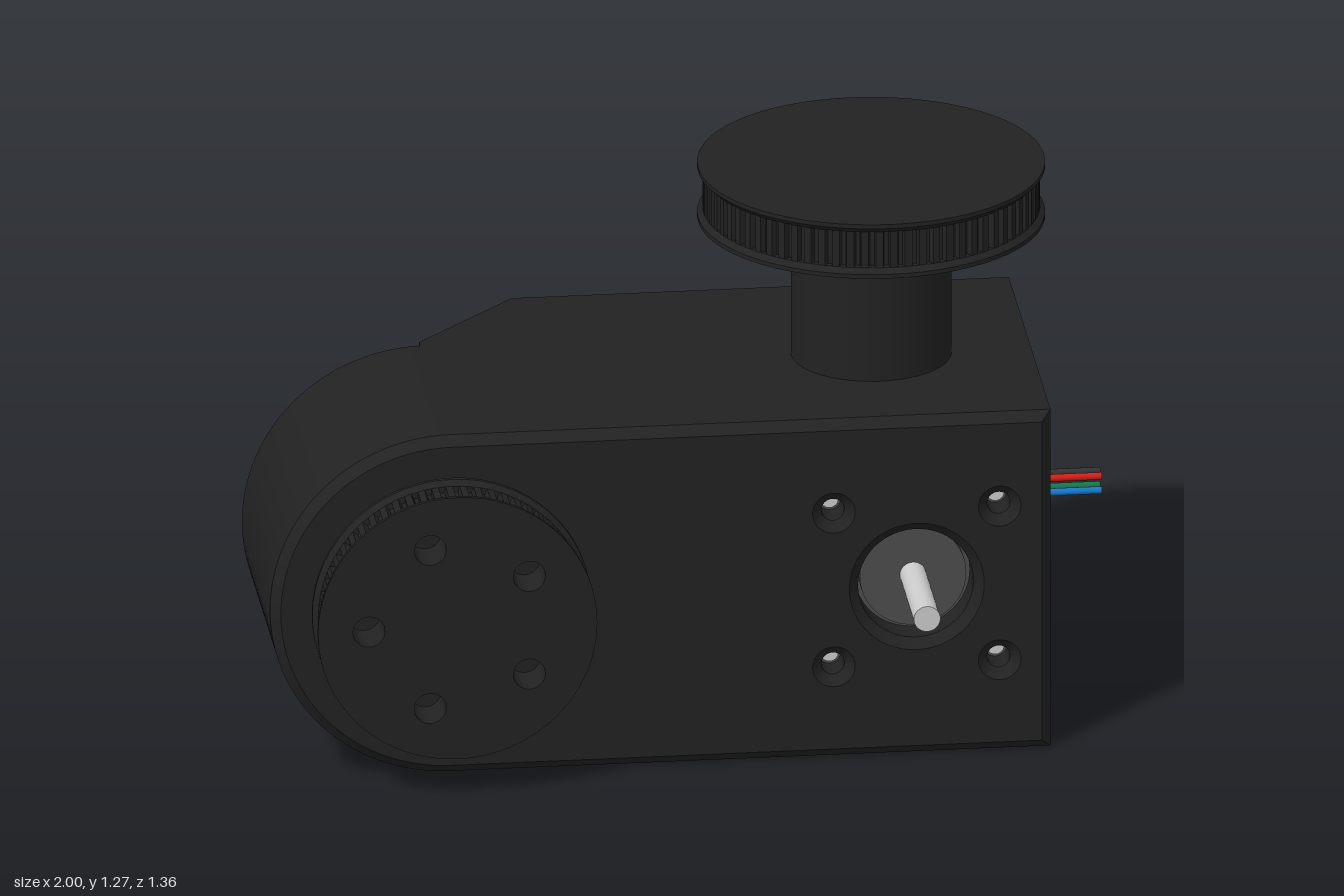
import * as THREE from 'three';
import { toCreasedNormals } from 'three/addons/utils/BufferGeometryUtils.js';

const mat = (color) => new THREE.MeshStandardMaterial({ color });
const black = mat(0x222222), hole = mat(0x0a0a0a), motorGrey = mat(0x4c4c4c), steel = mat(0xcccccc);

function add(parent, name, geometry, material, x = 0, y = 0, z = 0) {
  const mesh = new THREE.Mesh(geometry, material);
  mesh.name = name;
  mesh.position.set(x, y, z);
  parent.add(mesh);
  return mesh;
}

const poly = (pts) => new THREE.Shape(pts.map(([x, y]) => new THREE.Vector2(x, y)));
const circle = (x, y, r) => new THREE.Path().absarc(x, y, r, 0, Math.PI * 2, true);
const rect = (x0, y0, x1, y1) => poly([[x0, y0], [x1, y0], [x1, y1], [x0, y1]]);

// Extrude a shape along z from z0 to z1, with an optional chamfer
function slab(shape, z0, z1, chamfer = 0) {
  const g = new THREE.ExtrudeGeometry(shape, {
    depth: z1 - z0 - 2 * chamfer, curveSegments: 32, bevelEnabled: chamfer > 0,
    bevelSize: chamfer, bevelThickness: chamfer, bevelOffset: -chamfer, bevelSegments: 1,
  });
  g.translate(0, 0, z0 + chamfer);
  return toCreasedNormals(g, 0.5);
}

// Cylinder and lathe running along z
const rod = (r, len, seg = 32) => new THREE.CylinderGeometry(r, r, len, seg).rotateX(Math.PI / 2);
const turned = (pts, seg = 64) => toCreasedNormals(
  new THREE.LatheGeometry(pts.map(([r, h]) => new THREE.Vector2(r, h)), seg).rotateX(Math.PI / 2), 0.5);

const H = 0.81, MID = H / 2, END = 0.79;      // body height, centre line, right end
const HUB = -0.565, MOTOR = 0.486;            // axes of the round end and the motor
const BACK = -0.285, REAR = -0.527;           // back of the block, back of the rails

// Body outline: round left end, square right end, optional slot in the right end
function outline(slot) {
  const s = new THREE.Shape();
  s.moveTo(HUB, 0);
  s.lineTo(END, 0);
  if (slot) {
    [[END, 0.285], [0.75, 0.285], [0.75, 0.16], [-0.27, 0.16], [-0.27, 0.65], [0.75, 0.65],
      [0.75, 0.53], [END, 0.53]].forEach(([x, y]) => s.lineTo(x, y));
  }
  s.lineTo(END, H);
  s.lineTo(HUB, H);
  s.absarc(HUB, MID, MID, Math.PI / 2, Math.PI * 1.5, false);
  return s;
}

// Four corner positions of the motor screws
const corners = [[-1, -1], [1, -1], [1, 1], [-1, 1]].map(([i, j]) => [MOTOR + i * 0.187, MID + j * 0.185]);

function buildBody(parent) {
  const body = new THREE.Group();
  body.name = 'housing';
  parent.add(body);

  const front = outline(false);
  front.holes.push(circle(MOTOR, MID, 0.13), ...corners.map(([x, y]) => circle(x, y, 0.026)));
  add(body, 'frontWall', slab(front, 0.185, 0.305, 0.022), black);

  const middle = outline(false);
  middle.holes.push(rect(-0.27, 0.16, 0.75, 0.65), circle(HUB, MID, 0.28));
  add(body, 'middleBlock', slab(middle, 0.02, 0.215), black);

  const back = outline(true);
  back.holes.push(circle(HUB, MID, 0.28));
  add(body, 'backBlock', slab(back, BACK, 0.045, 0.022), black);

  // Rails above and below the open back, with mounting holes and a sloping end
  for (const y0 of [0, H - 0.12]) {
    const rail = rect(-0.331, y0, END, y0 + 0.12);
    const holeY = y0 === 0 ? 0.057 : 0.753;
    rail.holes.push(circle(0.483, holeY, 0.035), circle(-0.01, holeY, 0.035));
    add(body, 'rail', slab(rail, REAR, -0.24), black);
    const wedge = slab(poly([[-0.331, 0.24], [-0.331, -REAR], [-0.568, -BACK], [-0.568, 0.24]].reverse()), 0, 0.12);
    wedge.rotateX(-Math.PI / 2);
    add(body, 'railSlope', wedge, black, 0, y0, 0);
  }

  // Ring of screw holes in the underside
  for (let i = 0; i < 5; i++) {
    const a = i * Math.PI * 0.4;
    add(body, 'undersideHole', new THREE.CylinderGeometry(0.026, 0.026, 0.01, 24), hole,
      0.431 + 0.11 * Math.cos(a), 0.003, -0.109 + 0.11 * Math.sin(a));
  }
}

// Toothed belt pulley along +z, with flared rims and optional blind holes
function pulley(name, r, h, teeth, holeCount) {
  const g = new THREE.Group();
  g.name = name;
  const pts = [];
  for (let i = 0; i < teeth; i++) {
    [[0, 1], [0.5, 1], [0.6, 0], [0.9, 0]].forEach(([t, up]) => {
      const a = (i + t) / teeth * Math.PI * 2, q = r - (up ? 0.012 : 0.026);
      pts.push([q * Math.cos(a), q * Math.sin(a)]);
    });
  }
  const core = poly(pts);
  for (let i = 0; i < holeCount; i++) {
    const a = Math.PI + i * Math.PI * 2 / holeCount;
    core.holes.push(circle(0.2 * Math.cos(a), 0.2 * Math.sin(a), 0.036));
  }
  add(g, 'toothedRim', slab(core, 0.005, h), black);
  add(g, 'backDisc', rod(r - 0.03, 0.02, 64), black, 0, 0, 0.01);
  const rim = [[r - 0.05, 0], [r, 0], [r, 0.01], [r - 0.012, 0.022], [r - 0.05, 0.022]];
  add(g, 'lowerRim', turned(rim), black);
  add(g, 'upperRim', turned(rim.map(([q, z]) => [q, h - z]).reverse()), black);
  return g;
}

function buildPulleys(parent) {
  const frontPulley = pulley('frontPulley', 0.315, 0.122, 60, 5);
  frontPulley.position.set(HUB, MID, 0.318);
  parent.add(frontPulley);
  add(parent, 'frontSpacer', rod(0.25, 0.04, 48), black, HUB, MID, 0.305);

  const topPulley = pulley('topPulley', 0.39, 0.13, 72, 0);
  topPulley.rotation.x = -Math.PI / 2;
  topPulley.position.set(0.431, 1.14, -0.109);
  parent.add(topPulley);
  add(parent, 'column', new THREE.CylinderGeometry(0.18, 0.18, 0.35, 64), black, 0.431, 0.965, -0.109);
  add(parent, 'columnFlange', new THREE.CylinderGeometry(0.21, 0.21, 0.028, 64), black, 0.431, 1.127, -0.109);
}

// Hub and ball bearing in the round end
function buildBearing(parent) {
  const hub = new THREE.Shape().absarc(0, 0, 0.218, 0, Math.PI * 2, false);
  for (let i = 0; i < 3; i++) {
    const a = i * Math.PI * 2 / 3;
    hub.holes.push(circle(0.11 * Math.cos(a), 0.11 * Math.sin(a), 0.026));
  }
  add(parent, 'hub', slab(hub, -0.33, -0.2), black, HUB, MID, 0);
  add(parent, 'hubCore', rod(0.218, 0.5, 48), black, HUB, MID, 0.04);
  const race = turned([[0.218, 0.12], [0.218, 0], [0.232, 0], [0.232, 0.03], [0.262, 0.03],
    [0.262, 0], [0.281, 0], [0.281, 0.12], [0.218, 0.12]].reverse());
  const ring = add(parent, 'bearingRace', race, steel, HUB, MID, -0.283);
  ring.material = mat(0xcccccc);
  ring.material.side = THREE.DoubleSide;
  for (let i = 0; i < 18; i++) {
    const a = i * Math.PI / 9;
    add(parent, 'bearingBall', new THREE.SphereGeometry(0.018, 12, 8), steel,
      HUB + 0.247 * Math.cos(a), MID + 0.247 * Math.sin(a), -0.265);
  }
}

// Stepper motor with shaft, screws, plug and wires
function buildMotor(parent) {
  const g = new THREE.Group();
  g.name = 'motor';
  parent.add(g);
  const s = 0.256, c = 0.225;
  const square = poly([[-c, -s], [c, -s], [s, -c], [s, c], [c, s], [-c, s], [-s, c], [-s, -c]]);
  square.holes.push(circle(0, 0, 0.032));
  add(g, 'motorBody', slab(square, -0.375, 0.215), motorGrey, MOTOR, MID, 0);
  add(g, 'frontBoss', rod(0.12, 0.02, 48), motorGrey, MOTOR, MID, 0.222);
  add(g, 'shaft', rod(0.03, 0.85), steel, MOTOR, MID, 0.08);
  add(g, 'rearRing', turned([[0.03, 0], [0.03, -0.008], [0.045, -0.008], [0.045, 0]].reverse(), 32),
    steel, MOTOR, MID, -0.375);
  for (const [x, y] of corners) {
    add(g, 'rearScrew', rod(0.034, 0.014, 24), steel, x, y, -0.377);
    add(g, 'screwSocket', rod(0.016, 0.004, 6), hole, x, y, -0.384);
    add(g, 'frontScrewSeat', rod(0.02, 0.006, 24), steel, x, y, 0.217);
  }
  // Plug frame, open towards the wires
  const plug = rect(-0.032, -0.042, 0.032, 0.042);
  plug.holes.push(rect(-0.024, -0.034, 0.024, 0.034));
  add(g, 'plug', slab(plug, 0, 0.04).rotateY(Math.PI / 2), steel, 0.735, MID, -0.29);
  [[0xd02018, 0.017, 0.016], [0x1878c8, -0.017, 0.016], [0x333333, 0.017, -0.016], [0x18784a, -0.017, -0.016]]
    .forEach(([color, dy, dz]) => add(g, 'wire',
      new THREE.CylinderGeometry(0.0085, 0.0085, 0.23, 12).rotateZ(Math.PI / 2), mat(color), 0.855, MID + dy, -0.29 + dz));
}

export function createModel() {
  const model = new THREE.Group();
  model.name = 'motorisedJoint';
  // The whole assembly is turned about the vertical axis
  const assembly = new THREE.Group();
  assembly.name = 'assembly';
  assembly.rotation.y = -0.464;
  model.add(assembly);
  buildBody(assembly);
  buildPulleys(assembly);
  buildBearing(assembly);
  buildMotor(assembly);
  return model;
}
